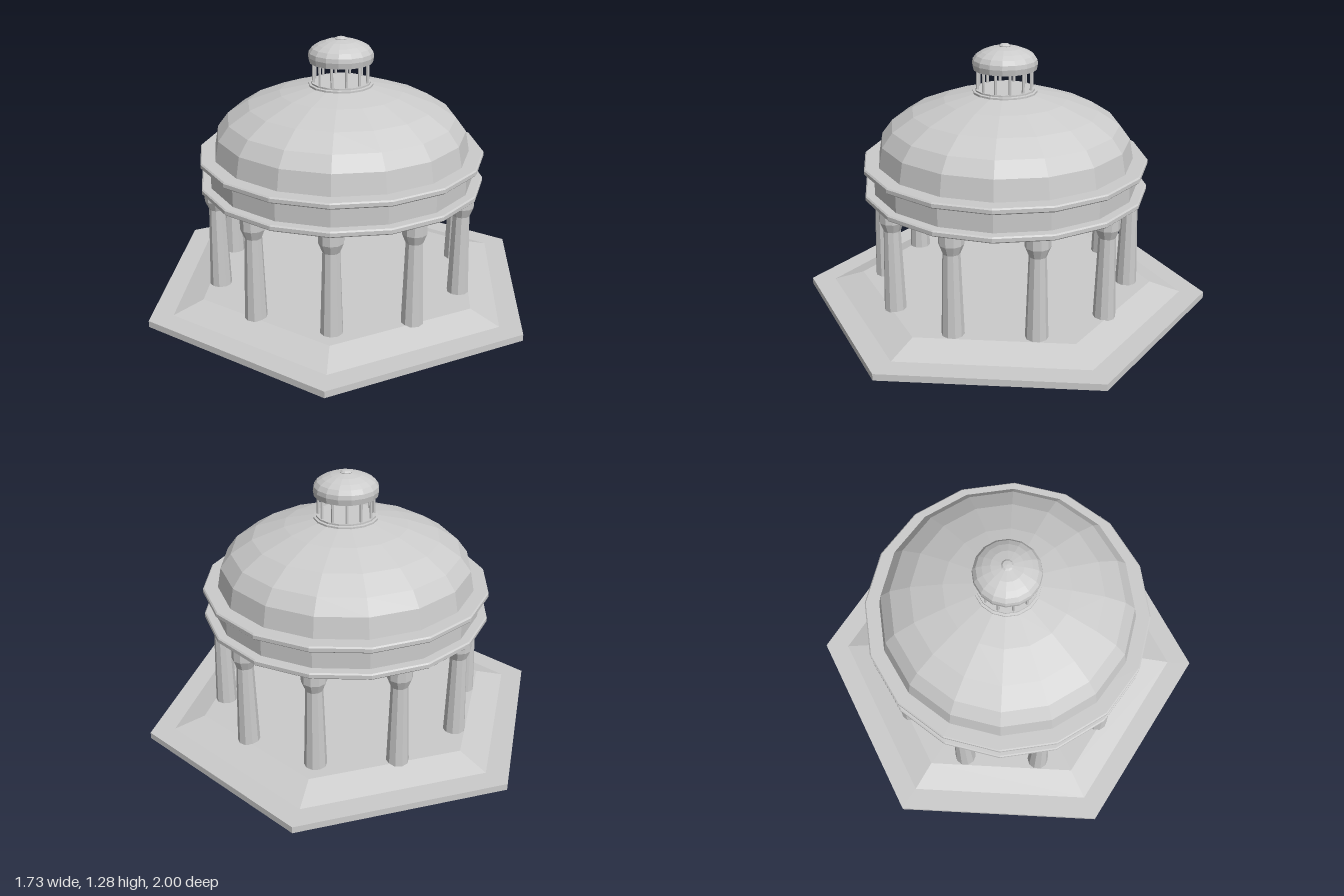
import * as THREE from 'three';

const material = new THREE.MeshStandardMaterial({ color: 0xcccccc, flatShading: true });

// Turned part: profile is [radius, height] pairs, listed counterclockwise
function turned(name, profile, sides) {
  const points = profile.map(([r, y]) => new THREE.Vector2(r, y));
  const mesh = new THREE.Mesh(new THREE.LatheGeometry(points, sides), material);
  mesh.name = name;
  return mesh;
}

// Copies of a part spaced evenly around the y axis
function ringOf(name, part, count, radius, offset = 0) {
  const group = new THREE.Group();
  group.name = name;
  for (let i = 0; i < count; i++) {
    const a = offset + (i / count) * Math.PI * 2;
    const copy = part.clone();
    copy.position.set(Math.sin(a) * radius, 0, Math.cos(a) * radius);
    copy.rotation.y = a;
    group.add(copy);
  }
  return group;
}

// Moulding with small bevels on its outer edges
function moulding(name, inner, outer, y0, y1, bevel = 0.006) {
  return turned(name, [
    [inner, y0], [outer - bevel, y0], [outer, y0 + bevel],
    [outer, y1 - bevel], [outer - bevel, y1], [inner, y1], [inner, y0],
  ], 16);
}

export function createModel() {
  const model = new THREE.Group();
  model.name = 'domedPavilion';

  // Hexagonal plinth with a sloped upper edge
  model.add(turned('plinth', [[0, 0], [1, 0], [1, 0.032], [0.88, 0.032], [0.73, 0.08], [0, 0.08]], 6));

  // Ten tapered columns with flared capitals
  const column = turned('column', [
    [0, 0.075], [0.053, 0.075], [0.04, 0.48], [0.058, 0.525], [0.058, 0.58], [0, 0.58],
  ], 10);
  model.add(ringOf('columns', column, 10, 0.61));

  // Entablature: drum between two mouldings
  model.add(moulding('lowerMoulding', 0.545, 0.686, 0.576, 0.605));
  model.add(turned('drum', [[0.64, 0.605], [0.64, 0.706], [0.56, 0.706], [0.56, 0.605]], 16));
  model.add(moulding('upperMoulding', 0.555, 0.686, 0.706, 0.735));

  // Hollow main dome: outer skin, then inner skin
  const outer = [[0.615, 0.735], [0.597, 0.832], [0.546, 0.9], [0.445, 0.965], [0.293, 1.02], [0.15, 1.052], [0, 1.062]];
  const inner = outer.map(([r, y]) => [r * 0.94, 0.735 + (y - 0.735) * 0.94]).reverse();
  model.add(turned('dome', outer, 16));
  model.add(turned('domeInterior', inner, 16));

  // Lantern: base, slender posts, cap and finial
  const lantern = new THREE.Group();
  lantern.name = 'lantern';
  lantern.add(turned('lanternBase', [
    [0.153, 1.045], [0.153, 1.06], [0.142, 1.062], [0.142, 1.07], [0, 1.07],
  ], 16));
  const post = turned('lanternPost', [[0.007, 1.065], [0.007, 1.17]], 6);
  lantern.add(ringOf('lanternPosts', post, 12, 0.13, Math.PI / 12));
  lantern.add(turned('lanternCap', [
    [0, 1.163], [0.15, 1.163], [0.155, 1.19], [0.152, 1.21], [0.137, 1.231],
    [0.111, 1.247], [0.073, 1.262], [0.025, 1.27], [0, 1.27],
  ], 16));
  lantern.add(turned('finial', [[0.025, 1.265], [0.028, 1.273], [0.02, 1.28], [0, 1.282]], 10));
  model.add(lantern);

  return model;
}
